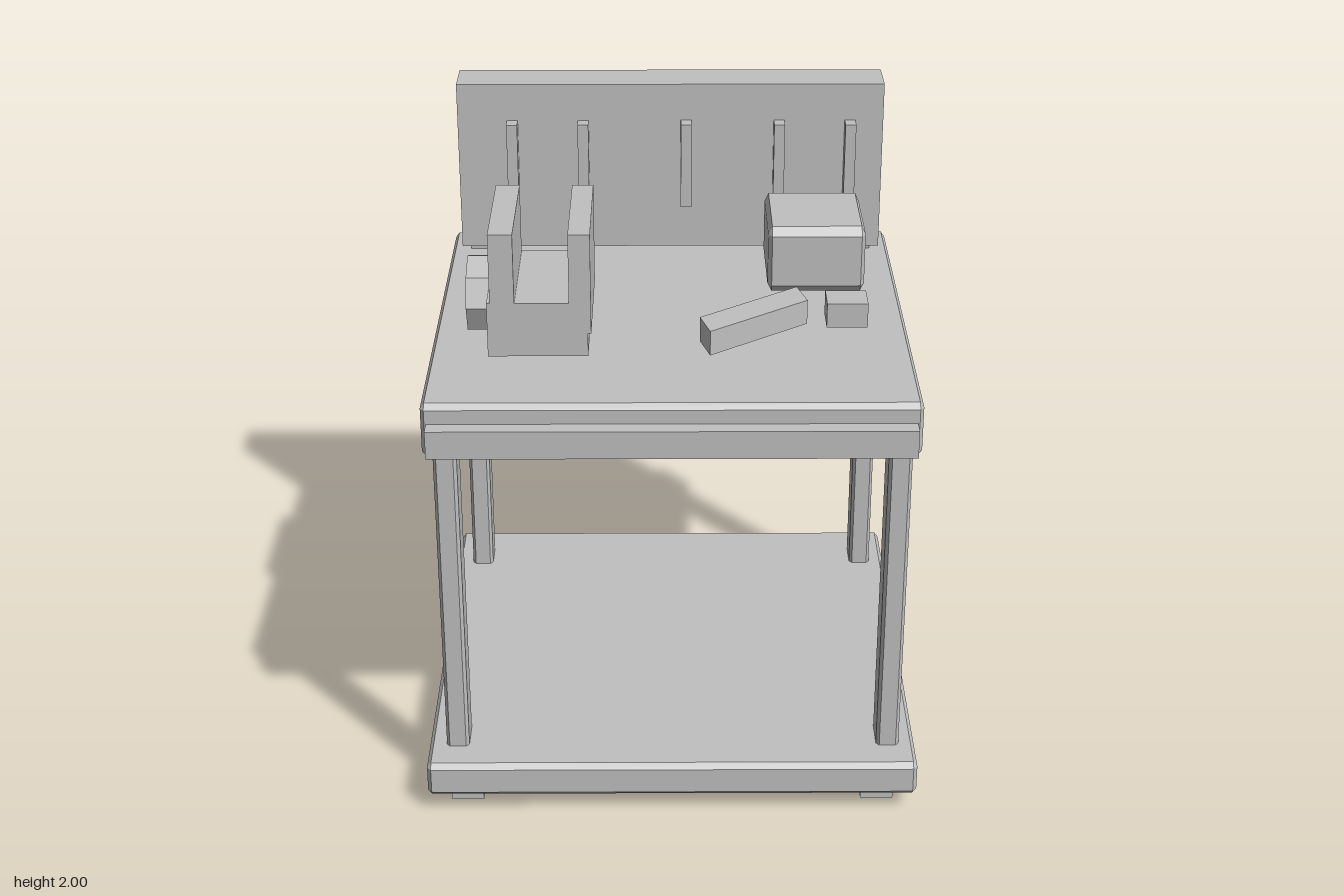
import * as THREE from 'three';
import { ConvexGeometry } from 'three/addons/geometries/ConvexGeometry.js';

const steel = new THREE.MeshStandardMaterial({ color: 0xc0c0c0 });
steel.name = 'plain grey';

function add(parent, name, geometry) {
  const mesh = new THREE.Mesh(geometry, steel);
  mesh.name = name;
  parent.add(mesh);
  return mesh;
}

// Box from ranges [min, max] on each axis
function box(parent, name, [x0, x1], [y0, y1], [z0, z1]) {
  const mesh = add(parent, name, new THREE.BoxGeometry(x1 - x0, y1 - y0, z1 - z0));
  mesh.position.set((x0 + x1) / 2, (y0 + y1) / 2, (z0 + z1) / 2);
  return mesh;
}

// Box with every edge cut by bevel sizes [bx, by, bz]
function bevelBox(parent, name, [x0, x1], [y0, y1], [z0, z1], [bx, by, bz]) {
  const hx = (x1 - x0) / 2, hy = (y1 - y0) / 2, hz = (z1 - z0) / 2;
  const points = [];
  for (const i of [-1, 1]) for (const j of [-1, 1]) for (const k of [-1, 1]) {
    points.push(
      new THREE.Vector3(i * hx, j * (hy - by), k * (hz - bz)),
      new THREE.Vector3(i * (hx - bx), j * hy, k * (hz - bz)),
      new THREE.Vector3(i * (hx - bx), j * (hy - by), k * hz)
    );
  }
  const mesh = add(parent, name, new ConvexGeometry(points));
  mesh.position.set((x0 + x1) / 2, (y0 + y1) / 2, (z0 + z1) / 2);
  return mesh;
}

export function createModel() {
  const bench = new THREE.Group();
  bench.name = 'workbench';

  // Lower shelf, worktop and front rail
  bevelBox(bench, 'lowerShelf', [-0.78, 0.776], [0.06, 0.178], [-0.77, 0.768], [0.013, 0.017, 0.017]);
  bevelBox(bench, 'worktop', [-0.75, 0.745], [1.237, 1.412], [-0.707, 0.705], [0.012, 0.017, 0.017]);
  box(bench, 'frontRail', [-0.733, 0.728], [1.26, 1.35], [0.69, 0.757]);

  // Legs and feet at the four corners
  for (const sx of [-1, 1]) for (const sz of [-1, 1]) {
    const lx = sx * 0.688, lz = sz * 0.592 + 0.003, fx = sx * 0.658 - 0.002, fz = sz * 0.603 + 0.003;
    bevelBox(bench, 'leg', [lx - 0.036, lx + 0.036], [0.035, 1.3], [lz - 0.062, lz + 0.062], [0.01, 0.012, 0.012]);
    box(bench, 'foot', [fx - 0.052, fx + 0.052], [0, 0.07], [fz - 0.087, fz + 0.087]);
  }

  // Back panel on two spacers, with tool pegs
  box(bench, 'backPanel', [-0.714, 0.709], [1.425, 2], [-0.688, -0.529]);
  for (const x of [-0.648, 0.643]) {
    box(bench, 'panelSpacer', [x - 0.037, x + 0.037], [1.4, 1.44], [-0.675, -0.538]);
  }
  for (const x of [-0.531, -0.294, 0.05, 0.361, 0.598]) {
    box(bench, 'toolPeg', [x - 0.018, x + 0.018], [1.585, 1.875], [-0.54, -0.479]);
  }

  // Vise: base, two jaws and an eight-sided hand wheel
  const vise = new THREE.Group();
  vise.name = 'vise';
  bench.add(vise);
  const depth = [-0.037, 0.394];
  box(vise, 'viseBase', [-0.566, -0.258], [1.43, 1.606], depth);
  box(vise, 'leftJaw', [-0.556, -0.481], [1.5, 1.828], depth);
  box(vise, 'rightJaw', [-0.315, -0.248], [1.505, 1.828], depth);
  const wheel = add(vise, 'handWheel',
    new THREE.CylinderGeometry(1, 1, 0.085, 8).toNonIndexed().rotateZ(Math.PI / 2).scale(1, 0.123, 0.133));
  wheel.geometry.computeVertexNormals();
  wheel.position.set(-0.5935, 1.552, 0.177);

  // Toolbox
  bevelBox(bench, 'toolbox', [0.313, 0.629], [1.423, 1.648], [-0.467, -0.112], [0.013, 0.027, 0.025]);

  // Hammer: slanted handle and small head
  const outline = [[0.396, 0.073], [0.425, 0.183], [0.115, 0.424], [0.085, 0.315]];
  const shape = new THREE.Shape(outline.map(([x, z]) => new THREE.Vector2(x, -z)));
  const handle = add(bench, 'hammerHandle',
    new THREE.ExtrudeGeometry(shape, { depth: 0.08, bevelEnabled: false }).rotateX(-Math.PI / 2));
  handle.position.y = 1.445;
  box(bench, 'hammerHead', [0.482, 0.61], [1.46, 1.54], [0.14, 0.248]);

  return bench;
}
